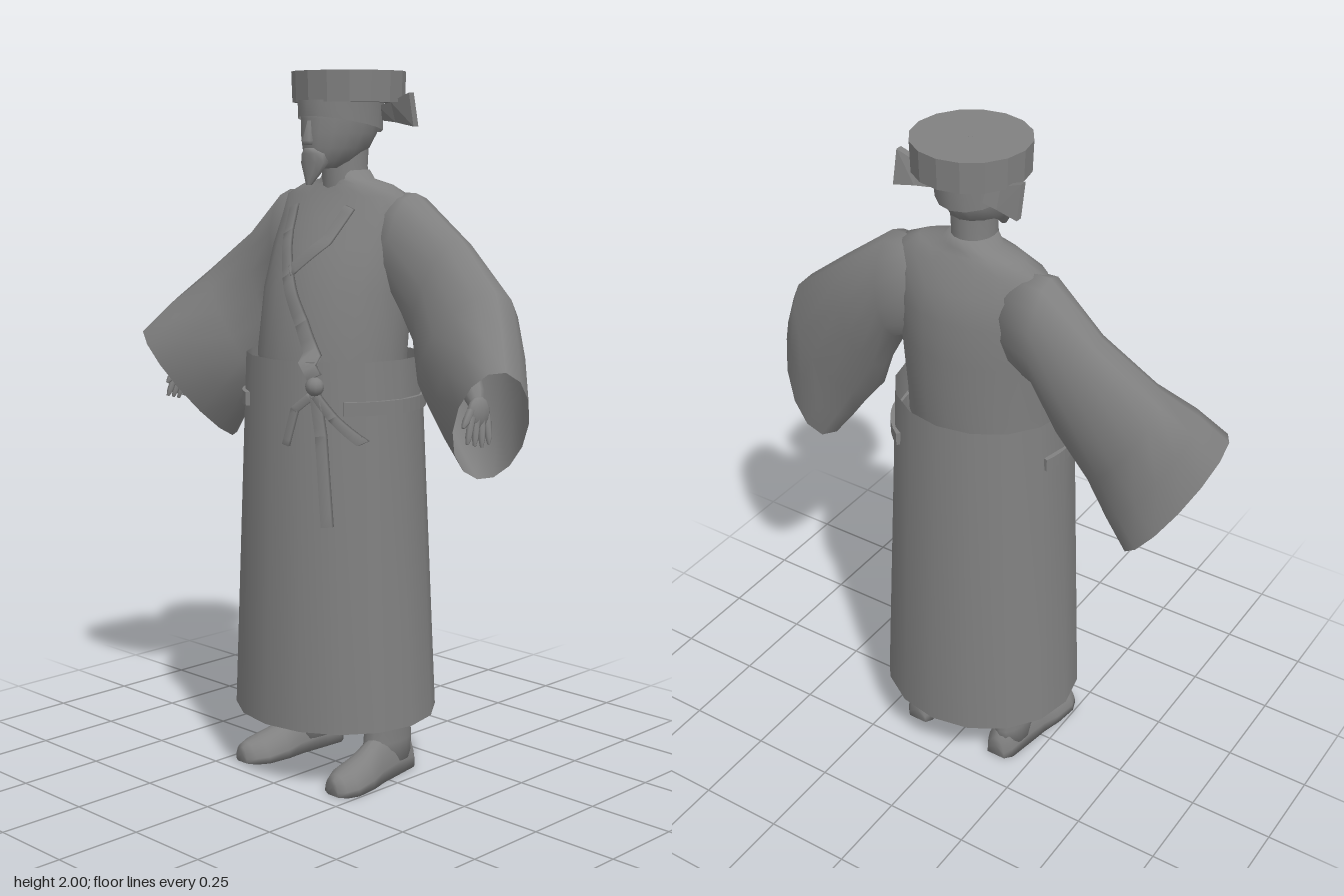
import * as THREE from 'three';

const V = (x, y, z) => new THREE.Vector3(x, y, z);

// Skin a list of equal-length point rings, optionally closing the ends
function loft(rings, capStart = false, capEnd = false) {
  const n = rings[0].length, pos = [], idx = [];
  rings.forEach(r => r.forEach(p => pos.push(p.x, p.y, p.z)));
  for (let i = 0; i < rings.length - 1; i++)
    for (let j = 0; j < n; j++) {
      const k = (j + 1) % n, a = i * n + j, b = i * n + k;
      idx.push(a, a + n, b, b, a + n, b + n);
    }
  const cap = (i, flip) => {
    const c = rings[i].reduce((s, p) => s.add(p), V(0, 0, 0)).divideScalar(n), ci = pos.length / 3;
    pos.push(c.x, c.y, c.z);
    for (let j = 0; j < n; j++) {
      const a = i * n + j, b = i * n + (j + 1) % n;
      idx.push(...(flip ? [ci, a, b] : [ci, b, a]));
    }
  };
  if (capStart) cap(0, true);
  if (capEnd) cap(rings.length - 1, false);
  const g = new THREE.BufferGeometry();
  g.setAttribute('position', new THREE.Float32BufferAttribute(pos, 3));
  g.setIndex(idx);
  g.computeVertexNormals();
  return g;
}

// Oval ring from a centre and two half-axis vectors
const oval = (c, a, b, n = 16) => Array.from({ length: n }, (_, i) => {
  const t = i / n * Math.PI * 2;
  return c.clone().addScaledVector(a, Math.cos(t)).addScaledVector(b, Math.sin(t));
});
// Horizontal ring from [y, half width, front z, back z]
const slice = ([y, w, f, b], x = 0, n = 16) => oval(V(x, y, (f + b) / 2), V(0, 0, (f - b) / 2), V(w, 0, 0), n);

// Profiles as [y, half width, front z, back z]
const TORSO = [
  [1.14, .222, .205, -.18], [1.22, .224, .215, -.185], [1.4, .232, .175, -.19], [1.52, .235, .125, -.19],
  [1.6, .235, .075, -.17], [1.66, .225, .04, -.14], [1.69, .16, .025, -.125], [1.705, .085, .02, -.115], [1.73, .065, .02, -.11],
];
const SKIRT = [[.185, .302, .28, -.28], [1.22, .258, .245, -.23]];

// Front depth of a profile at a given x and y
function frontZ(profile, x, y) {
  let i = 0;
  while (i < profile.length - 2 && y > profile[i + 1][0]) i++;
  const p = profile[i], q = profile[i + 1], t = (y - p[0]) / (q[0] - p[0]);
  const [w, f, b] = [1, 2, 3].map(k => p[k] + (q[k] - p[k]) * t);
  return (f + b) / 2 + (f - b) / 2 * Math.sqrt(Math.max(0, 1 - (x / w) ** 2));
}
const bodyZ = (x, y) => y < 1.23 ? frontZ(SKIRT, x, Math.min(y, 1.22)) : frontZ(TORSO, x, y);

// Cloth strip lying on the front of the body
function ribbon(points, width) {
  const rings = [];
  for (let i = 0; i < points.length - 1; i++) {
    const a = new THREE.Vector2(...points[i]), b = new THREE.Vector2(...points[i + 1]);
    const d = b.clone().sub(a).normalize().multiplyScalar(width / 2);
    for (let k = 0; k <= 6; k++) {
      const p = a.clone().lerp(b, k / 6);
      const at = (s, lift) => {
        const x = p.x - d.y * s, y = p.y + d.x * s;
        return V(x, y, bodyZ(x, y) + lift);
      };
      rings.push([at(-1, .001), at(-1, .01), at(1, .01), at(1, .001)]);
    }
  }
  return loft(rings, true, true);
}

// Tapered limb between two points
function rod(a, b, r0, r1, n = 8) {
  const d = b.clone().sub(a).normalize();
  const u = V(0, 0, 1).cross(d).normalize(), w = d.clone().cross(u);
  const ring = (c, r) => oval(c, u.clone().multiplyScalar(r), w.clone().multiplyScalar(r), n);
  return loft([ring(a, r0), ring(a.clone().lerp(b, .75), r1), ring(b, r1 * .5)], true, true);
}

export function createModel() {
  const model = new THREE.Group();
  const grey = new THREE.MeshStandardMaterial({ color: 0x808080, side: THREE.DoubleSide });
  grey.name = 'plain grey';
  const add = (name, geometry) => {
    const m = new THREE.Mesh(geometry, grey);
    m.name = name;
    model.add(m);
    return m;
  };
  const flat = g => {
    const f = g.toNonIndexed();
    f.computeVertexNormals();
    return f;
  };

  // Robe
  add('torso', loft(TORSO.map(p => slice(p, 0, 20)), false, true));
  add('skirt', loft(SKIRT.map(p => slice(p))));

  // Crossed collar and tied sash
  add('longLapel', ribbon([[-.115, 1.63], [-.09, 1.56], [-.025, 1.445], [.06, 1.32], [.135, 1.18]], .036));
  add('shortLapel', ribbon([[.105, 1.63], [.075, 1.54], [-.02, 1.455]], .034));
  add('longTie', ribbon([[.135, 1.16], [.155, 1.02], [.175, .77]], .024));
  add('leftTie', ribbon([[.14, 1.13], [.18, 1.07], [.235, 1.0]], .02));
  add('rightTie', ribbon([[.13, 1.13], [.085, 1.09], [.06, .99]], .02));
  add('knot', new THREE.SphereGeometry(.026, 10, 8)).position.set(.138, 1.155, bodyZ(.138, 1.155) + .008);

  // Belt pieces around the sides of the skirt
  for (const [s, from, to] of [[-1, .5, 1.9], [1, .85, 2.5]]) {
    const rings = [];
    for (let i = 0; i <= 14; i++) {
      const t = from + (to - from) * i / 14;
      const at = (y, o) => V(s * Math.sin(t) * (.26 + o), y, .007 + Math.cos(t) * (.24 + o));
      rings.push([at(1.075, -.01), at(1.075, .011), at(1.113, .011), at(1.113, -.01)]);
    }
    add(s < 0 ? 'rightBelt' : 'leftBelt', flat(loft(rings, true, true)));
  }

  // Neck, head, nose and beard
  add('neck', loft([[1.68, .065, .03, -.11], [1.74, .06, .03, -.105], [1.82, .062, .03, -.11]].map(p => slice(p))));
  add('head', loft([
    [1.735, .03, .085, 0], [1.755, .055, .1, -.05], [1.79, .078, .106, -.11], [1.83, .09, .108, -.135],
    [1.87, .096, .104, -.14], [1.92, .098, .1, -.14],
  ].map(p => slice(p)), true, true));
  add('nose', loft([[1.798, .014, .118, .09], [1.81, .018, .127, .09], [1.865, .008, .108, .09]].map(p => slice(p, 0, 6)), true, true));
  add('beard', loft([
    [1.69, .008, .112, .095], [1.72, .028, .112, .07], [1.75, .046, .113, .05], [1.775, .042, .113, .05], [1.79, .018, .113, .08],
  ].map(p => slice(p, 0, 10)), true, true));

  // Round hat: slanted band, drum and side flaps
  const band = slice([1.85, .104, .112, -.152]);
  band.forEach(p => { p.y += p.z * .17 + .008; });
  add('hatBand', loft([band, slice([1.92, .107, .112, -.155])]));
  add('hatDrum', flat(new THREE.CylinderGeometry(.16, .157, .085, 16))).position.set(0, 1.957, -.052);
  add('hatButton', new THREE.CylinderGeometry(.008, .008, .004, 8)).position.set(0, 1.998, -.055);
  for (const s of [-1, 1]) {
    const side = s < 0 ? 'right' : 'left';
    const flap = (x, y0, y1, z) => [V(s * x, y0, z - .02), V(s * x, y0, z), V(s * x, y1, z + .02), V(s * x, y1, z)];
    add(side + 'HatFlap', flat(loft([flap(.08, 1.865, 1.905, -.105), flap(.125, 1.86, 1.915, -.11), flap(.188, 1.848, 1.94, -.115)], true, true)));

    // Wide sleeve from shoulder to open cuff
    const sleeve = [
      [[.14, 1.53, -.065], [.0, .14, 0], [0, 0, .085]],
      [[.235, 1.51, -.062], [.012, .16, 0], [-.005, 0, .1]],
      [[.345, 1.39, -.07], [.06, .16, 0], [-.02, 0, .088]],
      [[.46, 1.26, -.035], [.105, .16, .01], [-.06, .01, .1]],
      [[.535, 1.165, .0], [.11, .165, .045], [-.045, .02, .11]],
      [[.6, 1.075, .03], [.108, .162, .075], [-.03, .03, .11]],
    ].map(r => oval(...r.map(([x, y, z]) => V(s * x, y, z)), 14));
    add(side + 'Sleeve', loft(sleeve, true));

    // Forearm and hand inside the cuff
    add(side + 'Forearm', rod(V(s * .44, 1.28, -.03), V(s * .58, 1.12, .06), .04, .03));
    const palm = add(side + 'Palm', new THREE.SphereGeometry(1, 10, 8));
    palm.scale.set(.02, .045, .042);
    palm.position.set(s * .585, 1.115, .065);
    for (let i = 0; i < 4; i++)
      add(side + 'Finger' + (i + 1), rod(V(s * .59, 1.11, .035 + i * .02),
        V(s * (.61 - .004 * i), 1.03 + .006 * Math.abs(i - 1), .05 + i * .024), .011, .009, 6));
    add(side + 'Thumb', rod(V(s * .585, 1.13, .09), V(s * .59, 1.085, .13), .012, .01, 6));

    // Boot: shaft and flat-soled foot, turned slightly out
    add(side + 'BootShaft', loft([
      [.04, .05, .03, -.145], [.1, .05, .03, -.145], [.15, .052, .022, -.14], [.22, .056, .028, -.145], [.45, .065, .04, -.14],
    ].map(p => slice(p, s * .155)), true, true));
    const foot = [
      [-.152, .03, .07], [-.13, .046, .11], [-.05, .05, .13], [.02, .053, .115], [.08, .062, .085], [.15, .062, .068], [.185, .045, .058], [.2, .02, .045],
    ].map(([z, w, h]) => Array.from({ length: 12 }, (_, i) => {
      const t = i / 11 * Math.PI;
      return V(s * (.165 + z * .12) + Math.cos(t) * w, Math.sin(t) * h + .002, z);
    }));
    add(side + 'Foot', loft(foot, true, true));
  }
  return model;
}
